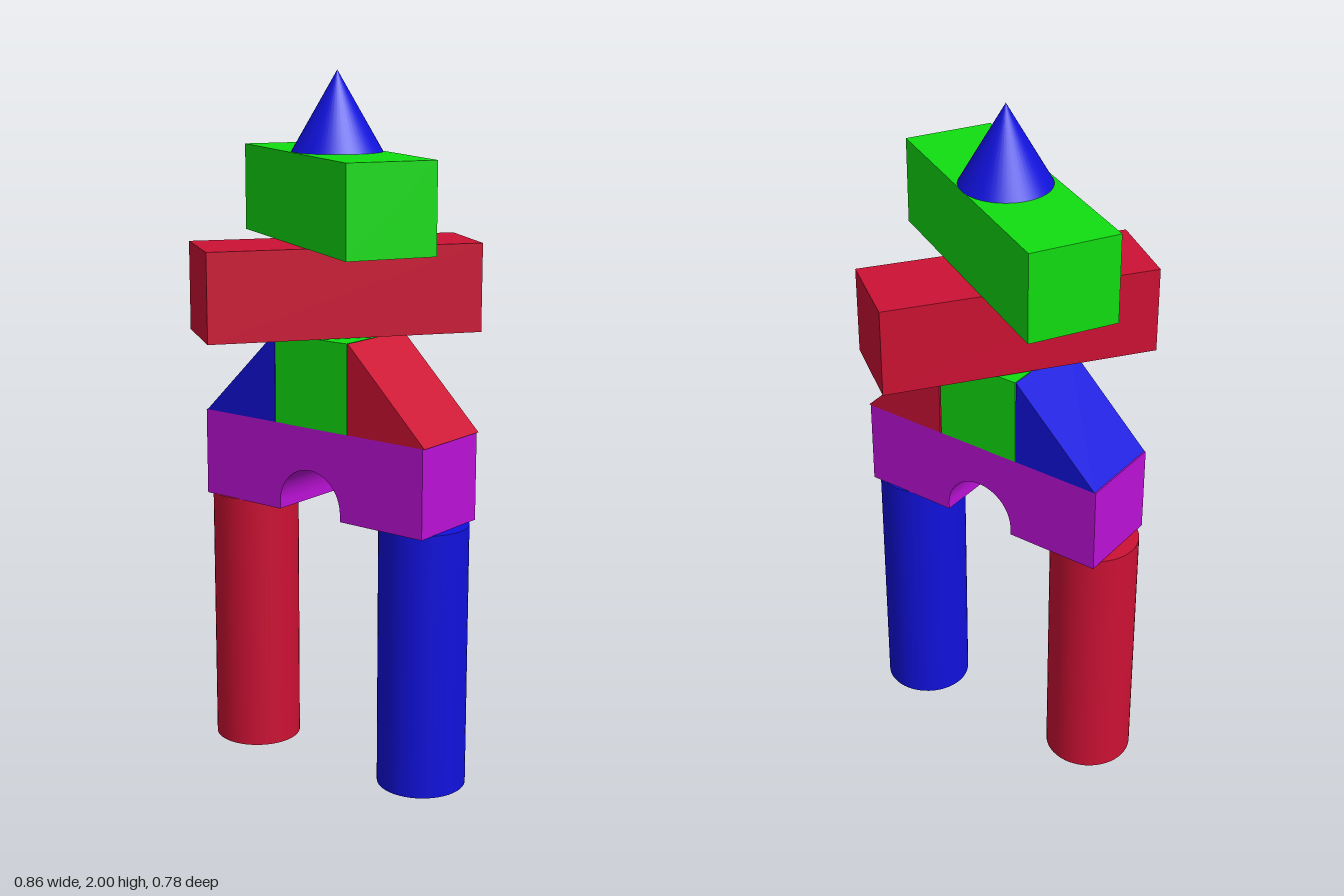
import * as THREE from 'three';

const paint = (name, color) => {
  const m = new THREE.MeshStandardMaterial({ color });
  m.name = name;
  return m;
};

export function createModel() {
  const model = new THREE.Group();
  model.name = 'blockTower';
  const red = paint('red', 0xcc1133);
  const green = paint('green', 0x11dd11);
  const blue = paint('blue', 0x1111dd);
  const purple = paint('purple', 0xbb11d6);

  const add = (name, geometry, material, x, y, z, turn = 0) => {
    const mesh = new THREE.Mesh(geometry, material);
    mesh.name = name;
    mesh.position.set(x, y, z);
    mesh.rotation.y = turn;
    model.add(mesh);
  };
  const W = 0.255; // common block thickness

  // Extrude a front outline to the block thickness, centred on z
  const slab = (shape) => new THREE.ExtrudeGeometry(shape,
    { depth: W, bevelEnabled: false, curveSegments: 32 }).translate(0, 0, -W / 2);

  // Pillars
  const pillar = new THREE.CylinderGeometry(0.127, 0.127, 0.77, 48);
  add('rightPillar', pillar, red, -0.304, 0.385, 0.008);
  add('leftPillar', pillar, blue, 0.301, 0.385, -0.009);

  // Bridge with a round-topped opening
  const arch = new THREE.Shape();
  arch.moveTo(-0.39, 0);
  arch.lineTo(-0.109, 0);
  arch.lineTo(-0.109, 0.021);
  arch.absarc(0, 0.021, 0.109, Math.PI, 0, true);
  arch.lineTo(0.109, 0);
  arch.lineTo(0.39, 0);
  arch.lineTo(0.39, 0.253);
  arch.lineTo(-0.39, 0.253);
  arch.closePath();
  add('archBridge', slab(arch), purple, 0.002, 0.769, 0);

  // Cube flanked by two wedges
  add('centreCube', new THREE.BoxGeometry(W, W, W), green, 0.006, 1.149, 0);
  for (const [name, side, material, x] of [
    ['rightWedge', -1, blue, -0.124], ['leftWedge', 1, red, 0.138]]) {
    const wedge = new THREE.Shape([
      new THREE.Vector2(0, 0),
      new THREE.Vector2(side * 0.26, 0),
      new THREE.Vector2(0, W),
    ]);
    add(name, slab(wedge), material, x, 1.022, 0);
  }

  // Two turned beams
  const beam = new THREE.BoxGeometry(0.779, 0.25, 0.256);
  add('lowerBeam', beam, red, -0.007, 1.405, 0, 0.935);
  add('upperBeam', beam, green, -0.007, 1.655, 0, -0.513);

  // Pointed top
  add('coneTop', new THREE.ConeGeometry(0.127, 0.22, 48), blue, 0, 1.89, 0);

  return model;
}
